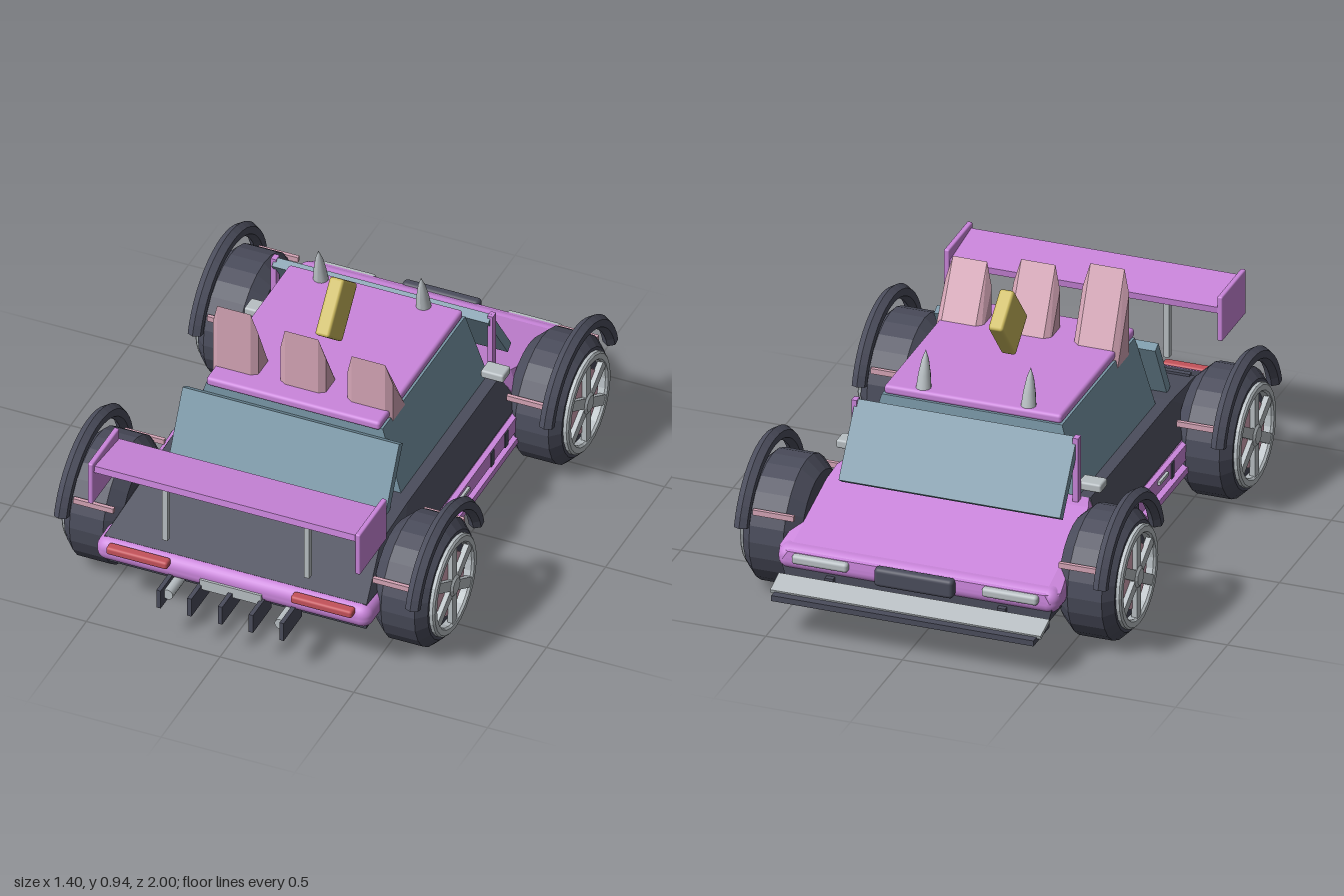
import * as THREE from 'three';
import { RoundedBoxGeometry } from 'three/addons/geometries/RoundedBoxGeometry.js';
import { ConvexGeometry } from 'three/addons/geometries/ConvexGeometry.js';

const paint = (name, color) => {
  const m = new THREE.MeshStandardMaterial({ color });
  m.name = name;
  return m;
};

export function createModel() {
  const car = new THREE.Group();
  car.name = 'car';
  const orchid = paint('orchid', 0xcb86dc);
  const rose = paint('rose', 0xd6a6b7);
  const slate = paint('slate', 0x4b4d5c);
  const glass = paint('glass', 0x7896a6);
  const silver = paint('silver', 0xb9c0c4);
  const gold = paint('gold', 0xcbb95c);
  const red = paint('red', 0xc4525a);

  const add = (name, geo, mat, parent = car) => {
    const m = new THREE.Mesh(geo, mat);
    m.name = name;
    parent.add(m);
    return m;
  };
  const flat = (g) => {
    const f = g.index ? g.toNonIndexed() : g;
    f.computeVertexNormals();
    return f;
  };
  // Box from min and max corners, optionally rounded
  const box = (name, mat, [x0, x1], [y0, y1], [z0, z1], r = 0) => {
    const s = [x1 - x0, y1 - y0, z1 - z0];
    const g = r ? new RoundedBoxGeometry(...s, 3, r) : new THREE.BoxGeometry(...s);
    const m = add(name, g, mat);
    m.position.set((x0 + x1) / 2, (y0 + y1) / 2, (z0 + z1) / 2);
    return m;
  };
  // Same box on both sides of the car
  const pair = (name, mat, [x0, x1], y, z, r) => {
    box(name + 'Left', mat, [x0, x1], y, z, r);
    box(name + 'Right', mat, [-x1, -x0], y, z, r);
  };
  // Plate running between two points of the side profile
  const plate = (name, mat, [z0, y0], [z1, y1], width, thick, r = 0) => {
    const len = Math.hypot(z1 - z0, y1 - y0);
    const g = r ? new RoundedBoxGeometry(width, thick, len, 2, r) : new THREE.BoxGeometry(width, thick, len);
    const m = add(name, g, mat);
    m.position.set(0, (y0 + y1) / 2, (z0 + z1) / 2);
    m.rotation.x = -Math.atan2(y1 - y0, z1 - z0);
    return m;
  };
  // Convex solid from [halfWidth, y, z] corners mirrored in x
  const hull = (name, mat, corners) => add(name, new ConvexGeometry(
    corners.flatMap(([x, y, z]) => [new THREE.Vector3(x, y, z), new THREE.Vector3(-x, y, z)])), mat);

  // Body
  hull('floor', slate, [[0.48, 0.165, 0.85], [0.48, 0.165, -0.86], [0.5, 0.24, 0.87], [0.5, 0.24, -0.86]]);
  box('belt', orchid, [-0.515, 0.515], [0.195, 0.285], [-0.87, 0.905], 0.04);
  hull('upperBody', slate, [
    [0.49, 0.27, 0.87], [0.49, 0.285, 0.87], [0.445, 0.385, 0.65], [0.445, 0.4, 0.42],
    [0.445, 0.4, -0.36], [0.5, 0.285, -0.4], [0.5, 0.27, -0.4], [0.5, 0.285, 0.6]]);
  hull('hood', orchid, [
    [0.49, 0.24, -0.87], [0.47, 0.272, -0.868], [0.515, 0.27, -0.83], [0.515, 0.24, -0.83],
    [0.46, 0.395, -0.42], [0.44, 0.4, -0.36], [0.51, 0.285, -0.4], [0.51, 0.25, -0.4]]);
  box('deckLip', slate, [-0.43, 0.43], [0.38, 0.395], [0.635, 0.655]);

  // Sills, door gaps and handles
  pair('sill', orchid, [0.47, 0.528], [0.165, 0.19], [-0.36, 0.38]);
  pair('sidePanel', orchid, [0.48, 0.522], [0.215, 0.275], [-0.36, 0.38]);
  for (const z of [0.225, -0.12, -0.24]) pair('panelGap', slate, [0.5, 0.526], [0.212, 0.272], [z - 0.013, z + 0.013]);
  pair('handle', silver, [0.515, 0.532], [0.25, 0.263], [0.085, 0.168]);

  // Cabin
  hull('cabin', glass, [[0.405, 0.39, 0.38], [0.405, 0.39, -0.36], [0.33, 0.645, 0.37], [0.33, 0.645, -0.33]]);
  plate('windshield', glass, [-0.535, 0.395], [-0.37, 0.63], 0.81, 0.035);
  plate('rearWindow', glass, [0.5, 0.395], [0.385, 0.615], 0.81, 0.035);
  box('roof', orchid, [-0.325, 0.325], [0.643, 0.677], [-0.325, 0.385], 0.012);
  pair('windshieldPost', orchid, [0.395, 0.415], [0.39, 0.64], [-0.4, -0.37]);
  pair('mirror', silver, [0.4, 0.485], [0.425, 0.457], [-0.365, -0.3], 0.008);

  // Roof fins: bevelled triangles of three heights
  [[-0.253, 0.935], [0, 0.905], [0.25, 0.872]].forEach(([x, top]) => {
    hull('roofFin', rose, [
      [0.0625, top, 0.31], [0.0625, 0.6, 0.31], [0.0625, 0.6, 0.155],
      [0.085, top - 0.085, 0.295], [0.085, 0.615, 0.295], [0.085, 0.615, 0.183]]).position.x = x;
  });

  // Tilted block on the roof
  plate('roofBlock', gold, [-0.05, 0.895], [0.082, 0.736], 0.054, 0.155, 0.01);

  // Leaning horns on the roof
  for (const s of [-1, 1]) {
    const g = new THREE.LatheGeometry(
      [[0.027, 0], [0.022, 0.05], [0.013, 0.1], [0, 0.137]].map((p) => new THREE.Vector2(...p)), 12);
    const p = g.attributes.position;
    for (let i = 0; i < p.count; i++) p.setZ(i, p.getZ(i) + p.getY(i) * 0.16);
    g.computeVertexNormals();
    add('horn', g, silver).position.set(s * 0.192, 0.675, -0.29);
  }

  // Rear wing
  plate('wing', orchid, [0.745, 0.6], [0.955, 0.626], 0.98, 0.025);
  pair('wingEndPlate', orchid, [0.49, 0.51], [0.485, 0.655], [0.74, 0.97], 0.006);
  pair('wingStrut', silver, [0.255, 0.275], [0.33, 0.605], [0.845, 0.868]);

  // Tail details
  pair('tailLight', red, [0.23, 0.46], [0.253, 0.283], [0.89, 0.93], 0.01);
  box('numberPlate', silver, [-0.115, 0.115], [0.2, 0.24], [0.89, 0.914]);
  for (let i = -2; i <= 2; i++) {
    box('diffuserFin', slate, [i * 0.115 - 0.008, i * 0.115 + 0.008], [0.143, 0.217], [0.845, 1]);
  }
  for (const s of [-1, 1]) {
    const pipe = add('exhaust', new THREE.CylinderGeometry(0.02, 0.02, 0.13, 12), silver);
    pipe.rotation.x = Math.PI / 2;
    pipe.position.set(s * 0.21, 0.185, 0.905);
  }

  // Nose details and splitter
  box('grille', slate, [-0.145, 0.145], [0.21, 0.28], [-0.9, -0.86], 0.015);
  pair('headlight', silver, [0.245, 0.45], [0.235, 0.27], [-0.89, -0.855], 0.012);
  box('splitter', slate, [-0.48, 0.48], [0.142, 0.163], [-1, -0.845]);
  plate('splitterBlade', silver, [-0.97, 0.163], [-0.885, 0.188], 0.99, 0.014);
  pair('splitterMount', slate, [0.3, 0.33], [0.15, 0.2], [-0.88, -0.84]);

  // Wheels, with arches and their struts
  const lathe = (pts, n) => flat(new THREE.LatheGeometry(pts.map((p) => new THREE.Vector2(...p)), n).rotateZ(-Math.PI / 2));
  const tire = lathe([[0, -0.11], [0.185, -0.11], [0.231, -0.06], [0.231, 0.065], [0.197, 0.1],
    [0.18, 0.1], [0.175, 0.085], [0, 0.085]], 24);
  const ring = lathe([[0.185, 0.09], [0.185, 0.112], [0.178, 0.118], [0.158, 0.118], [0.152, 0.11], [0.152, 0.085]], 24);
  const disc = lathe([[0.118, 0.08], [0.118, 0.098], [0, 0.098]], 24);
  const hub = lathe([[0.04, 0.09], [0.04, 0.115], [0.03, 0.122], [0, 0.122]], 12);
  const a = Math.PI / 12;
  const arch = flat(new THREE.TorusGeometry(0.279, 0.027, 6, 20, Math.PI - 2 * a).rotateZ(a).rotateY(Math.PI / 2));
  for (const s of [-1, 1]) {
    for (const z of [0.585, -0.55]) {
      const wheel = new THREE.Group();
      wheel.name = (z > 0 ? 'rear' : 'front') + 'Wheel';
      wheel.position.set(s * 0.58, 0.234, z);
      if (s < 0) wheel.rotation.y = Math.PI;
      car.add(wheel);
      add('tire', tire, slate, wheel);
      add('rimRing', ring, silver, wheel);
      add('brakeDisc', disc, rose, wheel);
      add('hub', hub, silver, wheel);
      for (let i = 0; i < 3; i++) {
        const spoke = add('spoke', new THREE.BoxGeometry(0.02, 0.33, 0.038), silver, wheel);
        spoke.position.x = 0.105;
        spoke.rotation.x = i * Math.PI / 3;
      }
      const guard = add('wheelArch', arch, slate);
      guard.material.side = THREE.DoubleSide;
      guard.position.set(s * 0.657, 0.234, z);
      for (const d of [-0.215, 0.215]) {
        const strut = add('archStrut', new THREE.BoxGeometry(0.15, 0.02, 0.014), rose);
        strut.position.set(s * 0.56, 0.345, z + d);
      }
    }
  }
  return car;
}
